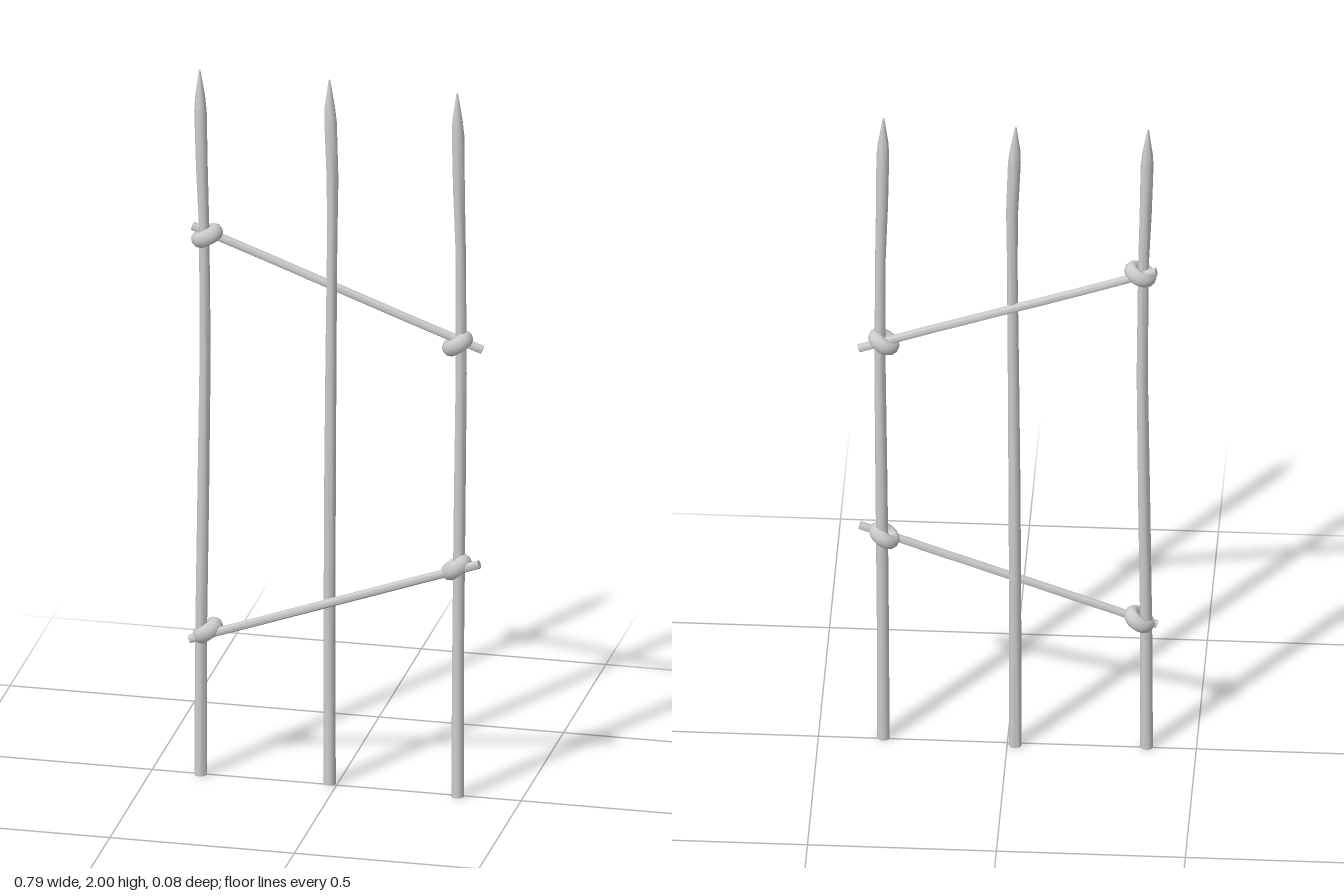
import * as THREE from 'three';
import { toCreasedNormals } from 'three/addons/utils/BufferGeometryUtils.js';

const material = new THREE.MeshStandardMaterial({ color: 0xcccccc });

// Round stick along y through rows of [y, x, z, radius], closed at both ends
function stickGeometry(rows, sides) {
  const first = rows[0], last = rows[rows.length - 1];
  const all = [[first[0], first[1], first[2], 0], ...rows, [last[0], last[1], last[2], 0]];
  const geo = new THREE.LatheGeometry(all.map(([y, , , r]) => new THREE.Vector2(r, y)), sides);
  const pos = geo.attributes.position;
  for (let i = 0; i < pos.count; i++) {
    const [, x, z] = all[i % all.length];
    pos.setXYZ(i, pos.getX(i) + x, pos.getY(i), pos.getZ(i) + z);
  }
  return toCreasedNormals(geo, 0.9);
}

function add(parent, name, geometry) {
  const mesh = new THREE.Mesh(geometry, material);
  mesh.name = name;
  parent.add(mesh);
  return mesh;
}

export function createModel() {
  const group = new THREE.Group();
  group.name = 'stakeFence';

  // Upright stakes: heights and radii are shared, each has its own bend in x and z
  const heights = [0, 0.4, 0.8, 1.2, 1.55, 1.72, 1.88, 1.92, 1.998];
  const radii = [0.017, 0.016, 0.016, 0.015, 0.014, 0.016, 0.017, 0.014, 0.002];
  const stakes = {
    rightStake: {
      x: [-0.368, -0.367, -0.362, -0.357, -0.36, -0.366, -0.37, -0.371, -0.373],
      z: [0.004, 0.002, -0.002, -0.003, -0.004, -0.003, -0.004, -0.005, -0.007],
    },
    middleStake: {
      x: [-0.021, -0.021, -0.019, -0.016, -0.013, -0.013, -0.019, -0.021, -0.023],
      z: [-0.008, -0.006, -0.003, -0.002, -0.004, -0.008, -0.011, -0.012, -0.014],
    },
    leftStake: {
      x: [0.329, 0.33, 0.333, 0.337, 0.336, 0.332, 0.33, 0.329, 0.328],
      z: [0.006, 0.004, -0.001, -0.003, -0.001, 0.002, 0.004, 0.005, 0.005],
    },
  };
  for (const [name, { x, z }] of Object.entries(stakes)) {
    add(group, name, stickGeometry(heights.map((y, i) => [y, x[i], z[i], radii[i]]), 12));
  }

  // Slanted rails: upper one behind the stakes, lower one in front
  const rails = [
    ['upperRail', [-0.395, 1.549, -0.018], [0.392, 1.267, -0.014], -0.002],
    ['lowerRail', [-0.395, 0.387, 0.016], [0.392, 0.671, 0.022], 0.001],
  ];
  for (const [name, from, to, bow] of rails) {
    const a = new THREE.Vector3(...from), b = new THREE.Vector3(...to);
    const length = a.distanceTo(b);
    const rows = [0, 0.25, 0.5, 0.75, 1].map((t) =>
      [t * length, 0, bow * Math.sin(t * Math.PI * 2), 0.0115]);
    const rail = add(group, name, stickGeometry(rows, 10));
    rail.position.copy(a);
    rail.quaternion.setFromUnitVectors(new THREE.Vector3(0, 1, 0), b.sub(a).normalize());
  }

  // Rope lashings: fat rings lying across each joint, rising towards +x
  const lashings = [
    ['upperRightLashing', -0.352, 1.53, -0.004, 0.5],
    ['upperLeftLashing', 0.327, 1.284, -0.003, 0.6],
    ['lowerRightLashing', -0.349, 0.411, 0.003, 0.65],
    ['lowerLeftLashing', 0.326, 0.652, 0.007, 0.65],
  ];
  for (const [name, x, y, z, tilt] of lashings) {
    const ring = new THREE.TorusGeometry(0.026, 0.016, 10, 20);
    ring.rotateX(Math.PI / 2);
    ring.scale(1.08, 1.35, 0.88);
    const lashing = add(group, name, ring);
    lashing.position.set(x, y, z);
    lashing.rotation.z = tilt;
  }

  return group;
}
